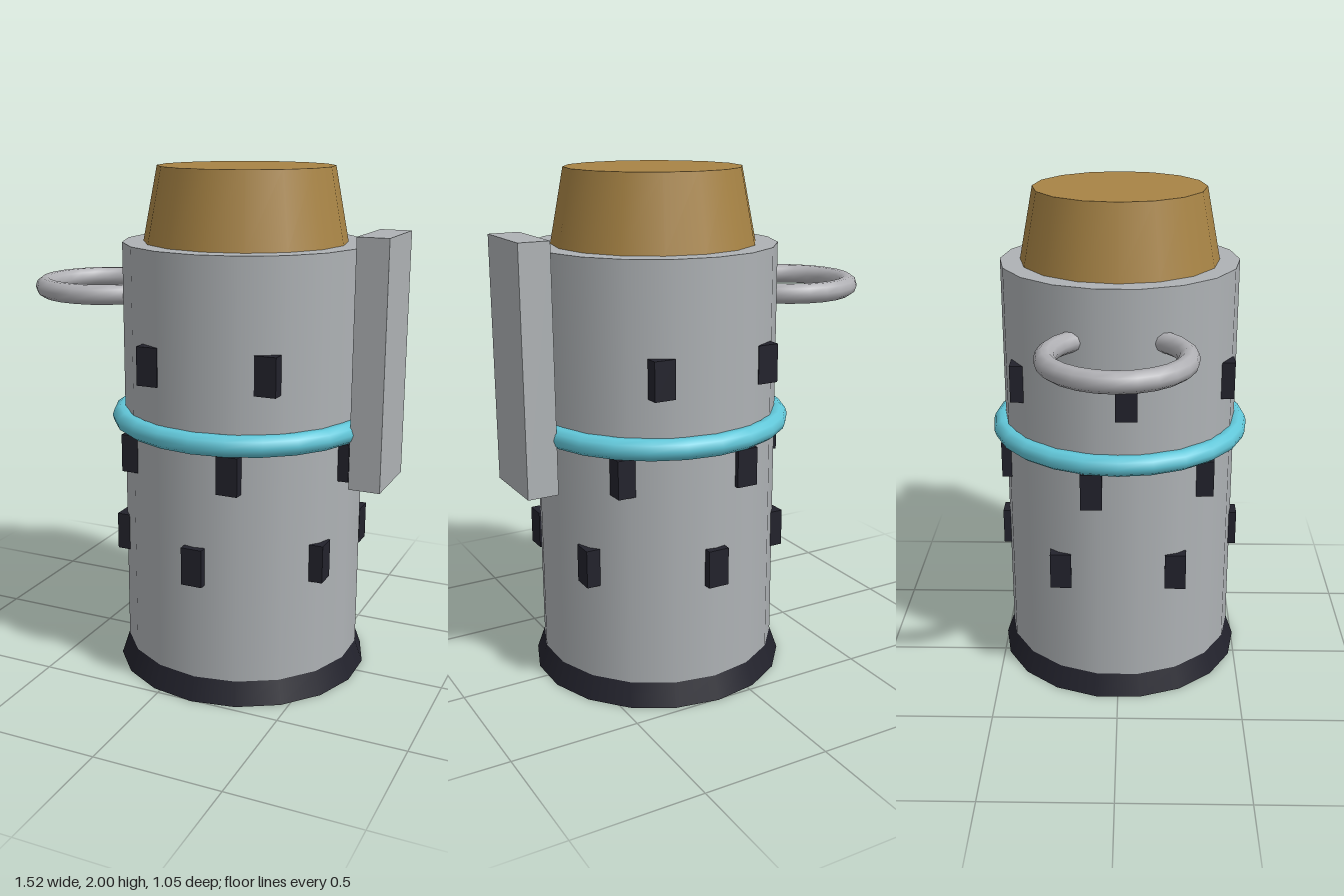
import * as THREE from 'three';

const mat = (name, color) => {
  const m = new THREE.MeshStandardMaterial({ color });
  m.name = name;
  return m;
};

export function createModel() {
  const stone = mat('light grey', 0xaeb2b5);
  const metal = mat('handle grey', 0xb0b0b4);
  const dark = mat('near black', 0x22222c);
  const wood = mat('golden brown', 0xa88445);
  const cyan = mat('cyan', 0x62c8da);

  const model = new THREE.Group();
  model.name = 'tower';
  const CX = 0.146; // axis of the tower

  const add = (name, geometry, material, x, y, z = 0) => {
    const mesh = new THREE.Mesh(geometry, material);
    mesh.name = name;
    mesh.position.set(x, y, z);
    model.add(mesh);
    return mesh;
  };
  const cylinder = (name, rTop, rBottom, y0, y1, sides, material) =>
    add(name, new THREE.CylinderGeometry(rTop, rBottom, y1 - y0, sides), material, CX, (y0 + y1) / 2);
  const ring = (name, radius, tube, material, x, y) => {
    const g = new THREE.TorusGeometry(radius, tube, 10, 24);
    g.rotateX(Math.PI / 2);
    return add(name, g, material, x, y);
  };

  // Stacked round parts
  cylinder('base', 0.475, 0.507, 0, 0.09, 18, dark);
  cylinder('body', 0.475, 0.475, 0.09, 1.715, 18, stone);
  cylinder('cap', 0.34, 0.395, 1.715, 2, 16, wood);

  // Band round the body and ring handle at the side
  ring('band', 0.485, 0.041, cyan, CX, 1.033);
  ring('handle', 0.256, 0.04, metal, -0.467, 1.505);

  // Upright slab on the other side
  add('sidePanel', new THREE.BoxGeometry(0.122, 0.947, 0.295), stone, 0.697, 1.293);

  // Three rows of six square-set blocks, each row turned a little further
  const block = new THREE.BoxGeometry(0.084, 0.148, 0.084);
  for (let row = 0; row < 3; row++) {
    for (let i = 0; i < 6; i++) {
      const a = Math.PI / 6 + row * 0.75 + (i * Math.PI) / 3;
      add('window', block, dark, CX + 0.457 * Math.cos(a), 0.55 + row * 0.37, 0.457 * Math.sin(a));
    }
  }
  return model;
}
